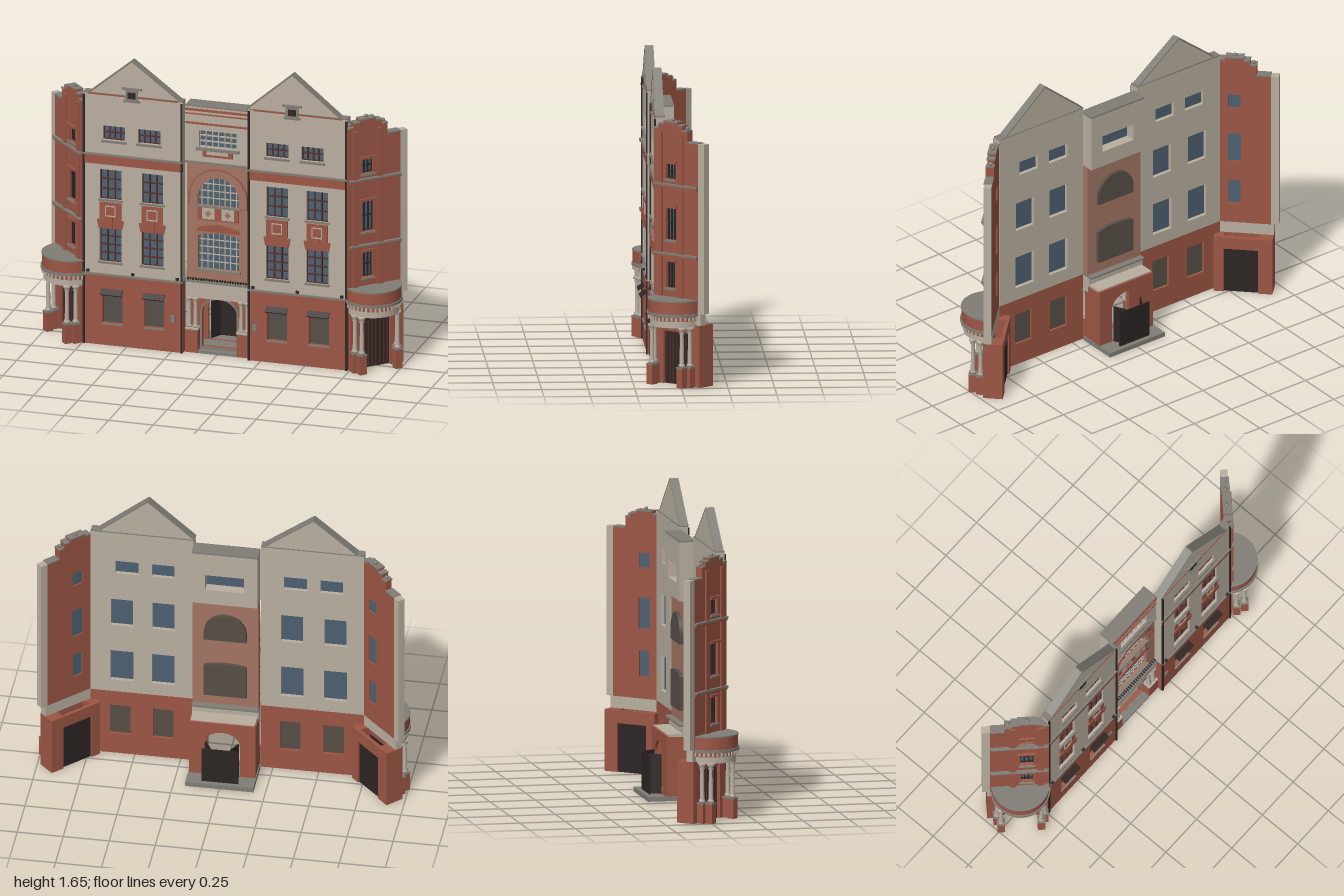
import * as THREE from 'three';

const mat = (name, color, side = THREE.FrontSide) => {
  const m = new THREE.MeshStandardMaterial({ color, side });
  m.name = name;
  return m;
};
const M = {
  brick: mat('brick', 0x9c5644), cream: mat('cream render', 0xb9afa0), stone: mat('grey stone', 0x7f7d75),
  pink: mat('pale brick', 0xa37564), glass: mat('glass', 0x4d6070), frame: mat('window frame', 0x56302b),
  dark: mat('dark metal', 0x2c2524), shutter: mat('shutter', 0x564f47),
};

function add(p, name, geo, m, x = 0, y = 0, z = 0) {
  const o = new THREE.Mesh(geo, m);
  o.name = name;
  o.position.set(x, y, z);
  p.add(o);
  return o;
}
// box given by its limits
const box = (p, name, m, x0, x1, y0, y1, z0, z1) => add(p, name,
  new THREE.BoxGeometry(Math.abs(x1 - x0), y1 - y0, Math.abs(z1 - z0)), m, (x0 + x1) / 2, (y0 + y1) / 2, (z0 + z1) / 2);
const rect = (x0, x1, y0, y1) => [[x0, y0], [x1, y0], [x1, y1], [x0, y1]];
// opening with a curved head: springs at y1 and rises by h
const arch = (r, y0, y1, h, n = 16) => {
  const pts = [[-r, y0], [r, y0]];
  for (let i = 0; i <= n; i++) pts.push([r * Math.cos(Math.PI * i / n), y1 + h * Math.sin(Math.PI * i / n)]);
  return pts;
};
const vec = a => a.map(q => new THREE.Vector2(q[0], q[1]));
function wall(p, name, m, outline, holes, z0, z1) {
  const s = new THREE.Shape(vec(outline));
  for (const h of holes) s.holes.push(new THREE.Path(vec(h)));
  return add(p, name, new THREE.ExtrudeGeometry(s, { depth: z1 - z0, bevelEnabled: false }), m, 0, 0, z0);
}
// glass with a border and glazing bars
function pane(p, name, x0, x1, y0, y1, z, cols, rows, m = M.frame, t = 0.006) {
  const g = new THREE.Group();
  g.name = name;
  p.add(g);
  box(g, 'glass', M.glass, x0, x1, y0, y1, z - 0.004, z);
  for (let i = 0; i <= cols; i++) {
    const x = x0 + (x1 - x0) * i / cols;
    box(g, 'upright bar', m, x - t / 2, x + t / 2, y0, y1, z, z + 0.012);
  }
  for (let j = 0; j <= rows; j++) {
    const y = y0 + (y1 - y0) * j / rows;
    box(g, 'cross bar', m, x0, x1, y - t / 2, y + t / 2, z, z + 0.011);
  }
}
function column(p, x, z, y0, y1, r) {
  const h = y1 - y0;
  const prof = [[0, 0], [r * 1.5, 0], [r * 1.5, .05 * h], [r, .1 * h], [r * .85, .82 * h], [r * 1.3, .86 * h], [r, .9 * h], [r * 1.7, .94 * h], [r * 1.7, h], [0, h]];
  add(p, 'column', new THREE.LatheGeometry(vec(prof), 14), M.cream, x, y0, z);
}

// gabled wing between x0 and x1
function wing(root, name, x0, x1, g0, g1, px, py, lower, mid, upper, plateX) {
  const g = new THREE.Group();
  g.name = name;
  root.add(g);
  const Z0 = 0.075, Z = 0.125;
  wall(g, 'brick base', M.brick, rect(x0, x1, 0, 0.4), lower.map(x => rect(x - .056, x + .056, .125, .31)), Z0, Z);
  const holes = [];
  mid.forEach(x => holes.push(rect(x - .062, x + .062, .475, .665), rect(x - .06, x + .06, .83, 1.0)));
  upper.forEach(x => holes.push(rect(x - .062, x + .062, 1.17, 1.25)));
  wall(g, 'rendered wall', M.cream, rect(x0, x1, 0.4, 1.43), holes, Z0, Z);
  wall(g, 'gable', M.cream, [[g0, 1.43], [g1, 1.43], [px, py]], [], Z0 + .005, Z);
  // gable copings
  for (const gx of [g0, g1]) {
    const dx = px - gx, dy = py - 1.43, c = box(g, 'gable coping', M.stone, -Math.hypot(dx, dy) / 2, Math.hypot(dx, dy) / 2, -.003, .003, Z0 + .004, Z + .002);
    c.position.set((gx + px) / 2, (py + 1.43) / 2, c.position.z);
    c.rotation.z = Math.atan(dy / dx);
  }
  box(g, 'wall coping', M.stone, x0, x1, 1.428, 1.434, Z0, Z + .002);
  box(g, 'gable brick line', M.brick, x0 + .03, x1 - .03, 1.424, 1.432, Z, Z + .005);
  box(g, 'gable vent', M.stone, px - .035, px + .035, 1.41, 1.47, Z, Z + .008);
  box(g, 'vent opening', M.dark, px - .022, px + .022, 1.42, 1.455, Z + .008, Z + .011);
  for (const [y, w] of [[1.4, .045], [1.47, .055]]) box(g, 'vent ledge', M.stone, px - w, px + w, y, y + .01, Z, Z + .014);
  // bands and ledges
  box(g, 'brick band', M.brick, x0, x1, 1.03, 1.08, Z, Z + .006);
  box(g, 'band ledge', M.stone, x0, x1, 1.08, 1.09, Z, Z + .012);
  box(g, 'base ledge', M.stone, x0, x1, .397, .407, Z, Z + .01);
  for (const x of [x0 + .03, (x0 + x1) / 2, x1 - .03]) box(g, 'lamp', M.dark, x - .008, x + .008, .412, .425, Z, Z + .012);
  box(g, 'wall plate', M.stone, plateX - .013, plateX + .013, .17, .21, Z, Z + .006);
  for (const x of [x0 + .006, x1 - .006]) box(g, 'drainpipe', M.dark, x - .005, x + .005, 0, 1.42, Z, Z + .008);
  for (const x of lower) {
    box(g, 'shutter', M.shutter, x - .056, x + .056, .125, .31, .09, .1);
    const a = box(g, 'awning', M.dark, x - .06, x + .06, .304, .31, Z - .002, Z + .038);
    a.rotation.x = .6;
    box(g, 'shutter sill', M.stone, x - .06, x + .06, .118, .126, Z, Z + .008);
  }
  for (const x of mid) {
    pane(g, 'first floor window', x - .062, x + .062, .475, .665, .1, 3, 4);
    pane(g, 'second floor window', x - .06, x + .06, .83, 1.0, .1, 3, 3);
    for (const y of [.467, .822]) box(g, 'sill', M.stone, x - .068, x + .068, y, y + .01, Z, Z + .012);
    wall(g, 'window head', M.brick, [[x - .066, .668], [x + .066, .668], [x + .075, .715], [x + .035, .72], [x - .035, .72], [x - .075, .715]], [], Z, Z + .008);
    box(g, 'ornament panel', M.brick, x - .06, x + .06, .72, .815, Z, Z + .005);
    wall(g, 'panel border', M.cream, rect(x - .03, x + .03, .735, .797), [rect(x - .024, x + .024, .741, .791)], Z + .004, Z + .008);
    box(g, 'keystone', M.brick, x - .016, x + .016, .668, .735, Z, Z + .014);
  }
  for (const x of upper) {
    pane(g, 'attic window', x - .062, x + .062, 1.17, 1.25, .1, 4, 2);
    box(g, 'attic sill', M.stone, x - .07, x + .07, 1.157, 1.168, Z, Z + .012);
  }
}

// angled corner bay; s = 1 for +x, -1 for -x
function corner(root, name, s) {
  const g = new THREE.Group();
  g.name = name;
  g.position.set(s * .84, 0, .01);
  g.rotation.y = s * Math.PI / 4;
  root.add(g);
  const b = (n, m, x0, x1, ...r) => box(g, n, m, s * x0, s * x1, ...r);
  const c = -.035, F = .02, wins = [[.52, .66, .032], [.78, .95, .036], [1.11, 1.19, .034]];
  const sky = [[-.155, .4], [.162, .4], [.162, 1.32], [.085, 1.32], [.085, 1.38], [.05, 1.38], [.05, 1.405], [.015, 1.405],
    [.015, 1.42], [-.085, 1.42], [-.085, 1.405], [-.12, 1.405], [-.12, 1.38], [-.155, 1.38]];
  wall(g, 'upper wall', M.brick, sky.map(q => [s * q[0], q[1]]),
    wins.map(([y0, y1, w]) => rect(s * c - w, s * c + w, y0, y1)), -.02, F);
  b('end pier', M.cream, .162, .205, .4, 1.32, -.02, F);
  for (const [y0, y1, w] of wins) {
    pane(g, 'bay window', s * c - w, s * c + w, y0, y1, -.008, 3, 2, M.dark);
    b('window hood', M.brick, c - w - .012, c + w + .012, y1 + .004, y1 + .018, F, F + .012);
    b('window sill', M.stone, c - w - .01, c + w + .01, y0 - .012, y0 - .002, F, F + .01);
  }
  for (const x of [c - .075, c + .075]) b('pilaster', M.brick, x - .018, x + .018, .41, 1.36, F, F + .01);
  for (const y of [.7, 1.075]) {
    b('bay ledge', M.brick, -.15, .162, y - .012, y, F, F + .012);
    b('bay ledge cap', M.stone, -.15, .162, y, y + .01, F, F + .018);
  }
  // stepped parapet copings and finials
  for (const [x0, x1, y] of [[-.155, -.12, 1.38], [-.12, -.085, 1.405], [-.085, .015, 1.42], [.015, .05, 1.405], [.05, .085, 1.38], [.085, .162, 1.32]])
    b('parapet coping', M.stone, x0, x1, y - .004, y + .004, -.022, F + .005);
  for (const [x, y] of [[c, 1.43], [-.135, 1.392], [.067, 1.392]])
    add(g, 'finial', new THREE.SphereGeometry(.011, 10, 8), M.stone, s * x, y, 0);
  // round balcony
  const half = (r, h) => new THREE.CylinderGeometry(r, r, h, 28, 1, false, -Math.PI / 2, Math.PI);
  const slab = (n, m, r, y0, y1) => add(g, n, half(r, y1 - y0), m, 0, (y0 + y1) / 2, .01);
  slab('balcony beam', M.cream, .145, .325, .36);
  slab('balcony frieze', M.brick, .15, .36, .385);
  slab('balcony cornice', M.stone, .162, .385, .4);
  slab('balcony parapet', M.brick, .155, .4, .465);
  slab('balcony top', M.stone, .158, .465, .472);
  for (let i = 0; i < 20; i++) {
    const a = -Math.PI / 2 + Math.PI * (i + .5) / 20;
    const d = add(g, 'dentil', new THREE.BoxGeometry(.01, .018, .012), M.cream, .152 * Math.sin(a), .372, .01 + .152 * Math.cos(a));
    d.rotation.y = a;
  }
  // ground floor porch
  for (const e of [-1, 1]) {
    for (const [x, z] of [[.127, .047], [.108, .09]]) {
      box(g, 'pedestal', M.brick, e * x - .02, e * x + .02, 0, .105, z - .02, z + .02);
      box(g, 'pedestal cap', M.stone, e * x - .022, e * x + .022, .105, .113, z - .022, z + .022);
      column(g, e * x, z, .113, .327, .012);
    }
  }
  b('inner jamb', M.brick, -.14, -.085, 0, .335, -.08, .025);
  b('outer jamb', M.brick, .1, .178, 0, .335, -.08, .025);
  b('rear lintel', M.brick, -.085, .1, .265, .335, -.08, -.06);
  b('door head', M.brick, -.085, .1, .285, .335, 0, .02);
  b('rear gate', M.dark, -.085, .1, 0, .265, -.07, -.064);
  b('entrance door', M.dark, -.085, .1, 0, .285, .0, .006);
  b('slab over porch', M.cream, -.14, .178, .335, .4, -.02, F);
  for (let i = 0; i < 8; i++) b('door bar', M.frame, -.075 + i * .023, -.069 + i * .023, 0, .285, .006, .012);
}

function centre(root) {
  const g = new THREE.Group();
  g.name = 'centre bay';
  root.add(g);
  const W = .18;
  // attic
  wall(g, 'attic block', M.cream, rect(-W, W, 1.08, 1.4), [rect(-.105, .105, 1.17, 1.265)], .0, .085);
  box(g, 'attic coping', M.stone, -W, W, 1.4, 1.408, 0, .092);
  for (const [y, h] of [[1.375, .012], [1.355, .006], [1.3, .01]]) box(g, 'brick line', M.brick, -W, W, y, y + h, .085, .092);
  pane(g, 'attic window', -.105, .105, 1.17, 1.265, .06, 6, 3, M.cream);
  box(g, 'attic window sill', M.stone, -.12, .12, 1.155, 1.17, .085, .1);
  box(g, 'attic apron', M.brick, -.085, .085, 1.12, 1.155, .085, .093);
  box(g, 'apron panel', M.cream, -.06, .06, 1.135, 1.158, .09, .099);
  box(g, 'attic ledge', M.stone, -W, W, 1.078, 1.088, .085, .095);
  // tall pale brick wall with two large windows
  const top = arch(.112, .835, .885, .112), low = arch(.114, .475, .66, .022);
  wall(g, 'window wall', M.pink, rect(-W, W, .4, 1.08), [top, low], .035, .075);
  wall(g, 'upper arch ring', M.pink, arch(.165, .835, .885, .165), [arch(.118, .836, .885, .118)], .075, .084);
  wall(g, 'arch outline', M.brick, arch(.165, .835, .885, .165), [arch(.16, .836, .885, .16)], .075, .088);
  wall(g, 'lower arch head', M.brick, [[-.125, .69], [.125, .69], [.11, .715], [0, .735], [-.11, .715]], [], .075, .082);
  for (const [n, o, y0, y1, rows] of [['arched window', top, .835, .997, 4], ['lower window', low, .475, .68, 5]]) {
    wall(g, n, M.glass, o, [], .05, .055);
    wall(g, n + ' rear cover', M.shutter, o.map(q => [q[0] * 1.03, q[1]]), [], .015, .035);
    for (let i = 0; i < 7; i++) {
      const x = -.096 + i * .032;
      const h = rows === 4 ? .885 + Math.sqrt(.112 ** 2 - x * x) : y1 - .004;
      box(g, 'glazing bar', M.cream, x - .0025, x + .0025, y0, h, .055, .062);
    }
    for (let j = 1; j < rows; j++) {
      const y = y0 + (y1 - y0) * j / rows, w = rows === 4 && y > .885 ? Math.sqrt(.112 ** 2 - (y - .885) ** 2) : .112;
      box(g, 'cross bar', M.cream, -w, w, y - .0025, y + .0025, .055, .061);
    }
  }
  box(g, 'spandrel', M.brick, -.115, .115, .755, .832, .075, .081);
  for (const x of [-.055, .055]) {
    box(g, 'spandrel panel', M.cream, x - .035, x + .035, .763, .825, .081, .085);
    const d = add(g, 'diamond', new THREE.BoxGeometry(.026, .026, .004), M.pink, x, .794, .086);
    d.rotation.z = Math.PI / 4;
  }
  for (const y of [.465, .828]) box(g, 'window sill', M.stone, -.125, .125, y, y + .01, .075, .088);
  // entrance
  box(g, 'entrance cornice', M.stone, -W, W, .4, .41, .0, .1);
  for (let i = 0; i < 24; i++) box(g, 'dentil', M.dark, -.172 + i * .0148, -.165 + i * .0148, .411, .42, .075, .092);
  box(g, 'entrance frieze', M.cream, -W, W, .31, .4, 0.02, .09);
  box(g, 'entrance roof', M.cream, -W + .005, W - .005, .345, .36, -.065, .03);
  const door = arch(.098, .026, .22, .08);
  wall(g, 'entrance front', M.brick, rect(-W, W, 0, .31), [door], .03, .055);
  wall(g, 'entrance arch trim', M.stone, arch(.107, .025, .22, .089), [arch(.098, .026, .22, .08)], .055, .062);
  wall(g, 'entrance back', M.brick, rect(-W, W, 0, .355), [door], -.075, -.06);
  for (const e of [-1, 1]) {
    box(g, 'entrance side wall', M.brick, e * W, e * (W - .015), 0, .345, -.06, .03);
    for (const x of [.163, .128]) column(g, e * x, .078, .14, .31, .011);
    box(g, 'pedestal', M.brick, e * .179, e * .11, 0, .13, .055, .1);
    box(g, 'pedestal cap', M.cream, e * .179, e * .107, .13, .14, .055, .103);
    const leaf = box(g, 'open door leaf', M.dark, -.003, .003, .026, .24, -.035, .035);
    leaf.position.set(e * .072, .133, -.11);
    leaf.rotation.y = e * .5;
  }
  box(g, 'inner screen', M.dark, -.1, .1, .026, .235, -.147, -.142);
  box(g, 'floor slab', M.stone, -.185, .185, 0, .025, -.172, .06);
  box(g, 'step', M.stone, -.108, .108, 0, .014, .06, .1);
}

export function createModel() {
  const root = new THREE.Group();
  root.name = 'building facade';
  wing(root, 'right wing', -.745, -.185, -.71, -.2, -.47, 1.63, [-.58, -.345], [-.59, -.355], [-.57, -.373], -.24);
  wing(root, 'left wing', .18, .74, .175, .7, .43, 1.65, [.345, .58], [.345, .57], [.345, .543], .217);
  centre(root);
  corner(root, 'left corner bay', 1);
  corner(root, 'right corner bay', -1);
  return root;
}
